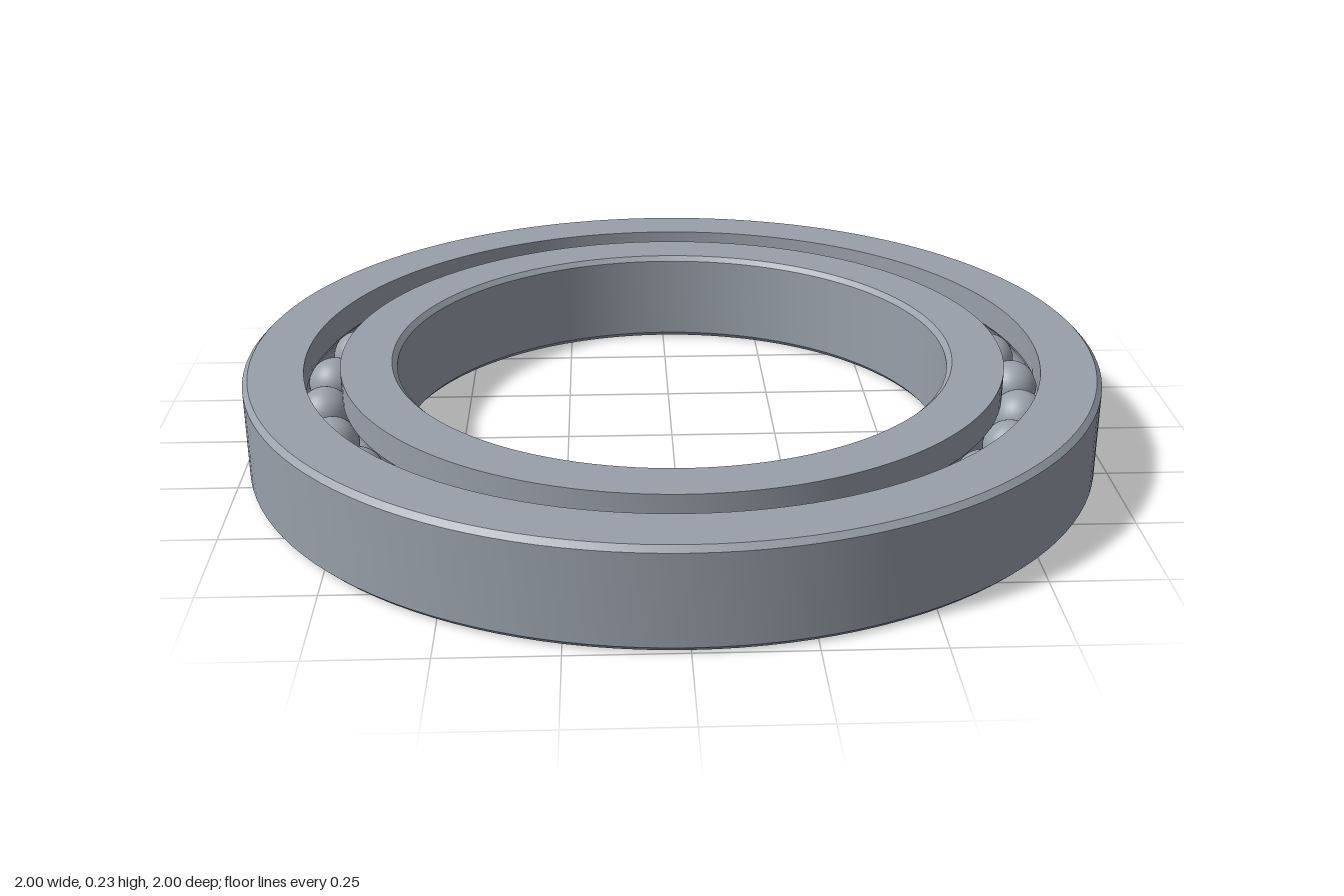
import * as THREE from 'three';
import { toCreasedNormals } from 'three/addons/utils/BufferGeometryUtils.js';

const HEIGHT = 0.23, CHAMFER = 0.012;
const OUTER = 1, BORE = 0.647;
const OUTER_LIP = 0.861, INNER_LIP = 0.778;
const PITCH = (OUTER_LIP + INNER_LIP) / 2;
const BALL = 0.0615, GROOVE = 0.0625, BALL_COUNT = 29;

// Raceway arc; side +1 cuts the outer ring (downwards), -1 the inner ring (upwards)
function groove(side) {
  const half = Math.acos((OUTER_LIP - PITCH) / GROOVE);
  const points = [];
  for (let i = 0; i <= 12; i++) {
    const a = side * half * (1 - i / 6);
    points.push([PITCH + side * GROOVE * Math.cos(a), HEIGHT / 2 + GROOVE * Math.sin(a)]);
  }
  return points;
}

// Closed cross-section turned around the axis, with sharp edges kept
function ring(name, section, material) {
  const points = [...section, section[0]].map(([r, y]) => new THREE.Vector2(r, y));
  const geometry = toCreasedNormals(new THREE.LatheGeometry(points, 128), 0.5);
  const mesh = new THREE.Mesh(geometry, material);
  mesh.name = name;
  return mesh;
}

export function createModel() {
  const model = new THREE.Group();
  model.name = 'ballBearing';
  const steel = new THREE.MeshStandardMaterial({ color: 0x98a0aa });
  steel.name = 'steel';

  // Outer race, chamfered on its rim
  model.add(ring('outerRace', [
    [OUTER - CHAMFER, 0], [OUTER, CHAMFER],
    [OUTER, HEIGHT - CHAMFER], [OUTER - CHAMFER, HEIGHT],
    [OUTER_LIP, HEIGHT], ...groove(1), [OUTER_LIP, 0],
  ], steel));

  // Inner race, chamfered at the bore
  model.add(ring('innerRace', [
    [BORE + CHAMFER, 0], [INNER_LIP, 0], ...groove(-1), [INNER_LIP, HEIGHT],
    [BORE + CHAMFER, HEIGHT], [BORE, HEIGHT - CHAMFER], [BORE, CHAMFER],
  ], steel));

  // Balls evenly spaced in the raceway
  const balls = new THREE.Group();
  balls.name = 'balls';
  const ballGeometry = new THREE.SphereGeometry(BALL, 32, 20);
  for (let i = 0; i < BALL_COUNT; i++) {
    const a = 0.005 + (i / BALL_COUNT) * Math.PI * 2;
    const ball = new THREE.Mesh(ballGeometry, steel);
    ball.name = 'ball';
    ball.position.set(PITCH * Math.cos(a), HEIGHT / 2, -PITCH * Math.sin(a));
    balls.add(ball);
  }
  model.add(balls);
  return model;
}
